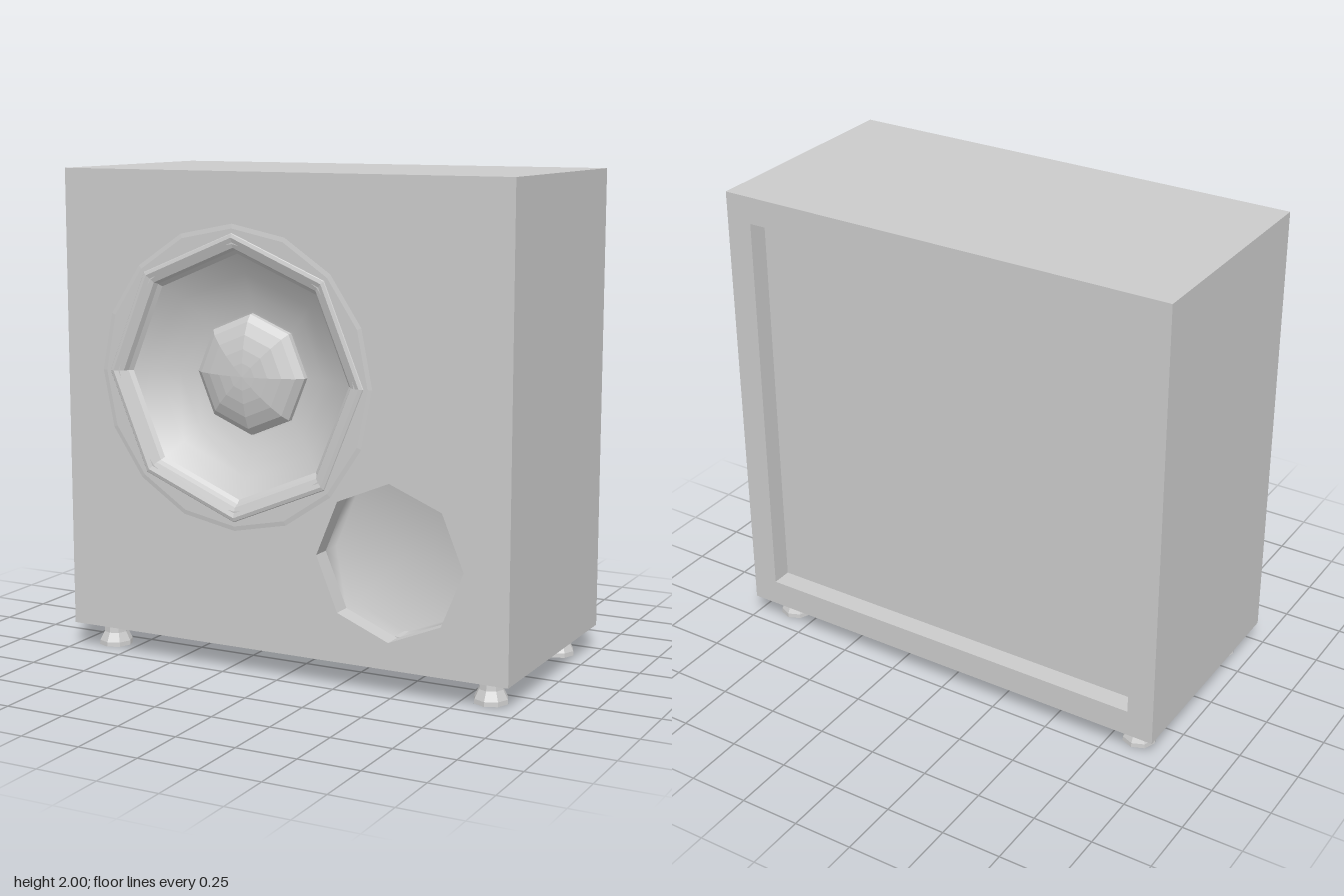
import * as THREE from 'three';

export function createModel() {
  const model = new THREE.Group();
  const mat = new THREE.MeshStandardMaterial({ color: 0xcccccc });
  const flat = new THREE.MeshStandardMaterial({ color: 0xcccccc, flatShading: true });
  const thin = new THREE.MeshStandardMaterial({ color: 0xcccccc, side: THREE.DoubleSide });

  const add = (name, geometry, material, x = 0, y = 0, z = 0) => {
    const mesh = new THREE.Mesh(geometry, material);
    mesh.name = name;
    mesh.position.set(x, y, z);
    model.add(mesh);
    return mesh;
  };
  const points = (list) => list.map(([r, h]) => new THREE.Vector2(r, h));

  // Profile [radius, z] spun around a forward-facing axis
  const dish = (profile, sides) =>
    new THREE.LatheGeometry(points(profile), sides).rotateX(Math.PI / 2);

  const rectangle = (Type, x, bottom, top) => {
    const p = new Type();
    p.moveTo(-x, bottom).lineTo(x, bottom).lineTo(x, top).lineTo(-x, top).closePath();
    return p;
  };
  const octagon = (cx, cy, r) => new THREE.Path(
    Array.from({ length: 9 }, (_, i) => new THREE.Vector2(
      cx + r * Math.sin(i * Math.PI / 4), cy + r * Math.cos(i * Math.PI / 4))));
  const extrude = (shape, depth) =>
    new THREE.ExtrudeGeometry(shape, { depth, bevelEnabled: false });

  const W = 0.978, BOTTOM = 0.105, TOP = 2, FRONT = 0.48, BACK = -0.49, BORDER = 0.112;
  const woofer = { x: -0.2, y: 1.19 };
  const port = { x: 0.48, y: 0.525, r: 0.312 };

  // Cabinet walls: a deep frame, open at the back
  const walls = rectangle(THREE.Shape, W, BOTTOM, TOP);
  walls.holes.push(rectangle(THREE.Path, W - BORDER, BOTTOM + BORDER, TOP - BORDER));
  add('cabinetWalls', extrude(walls, 0.4 - BACK), mat, 0, 0, BACK);

  // Front baffle with the woofer and port openings
  const baffle = rectangle(THREE.Shape, W, BOTTOM, TOP);
  baffle.holes.push(octagon(woofer.x, woofer.y, 0.53), octagon(port.x, port.y, port.r));
  add('frontBaffle', extrude(baffle, FRONT - 0.4), mat, 0, 0, 0.4);

  // Recessed back panel
  add('backPanel',
    new THREE.BoxGeometry(2 * (W - BORDER), TOP - BOTTOM - 2 * BORDER, 0.03),
    mat, 0, (TOP + BOTTOM) / 2, BACK + 0.1);

  // Port cup behind the baffle
  add('port', dish([[port.r, 0.4], [port.r, 0.31], [0, 0.31]], 8), mat, port.x, port.y);

  // Woofer: mounting flange, surround, cone and dust cap
  add('wooferFlange', dish([[0.615, 0.479], [0.59, 0.483], [0.53, 0.483]], 16),
    flat, woofer.x, woofer.y);
  add('wooferSurround',
    dish([[0.58, 0.475], [0.57, 0.486], [0.555, 0.49], [0.515, 0.475], [0.505, 0.455], [0.49, 0.44]], 8),
    flat, woofer.x, woofer.y);
  add('wooferCone', dish([[0.49, 0.44], [0.41, 0.385], [0.33, 0.345], [0.255, 0.32], [0.235, 0.318]], 8),
    thin, woofer.x, woofer.y);
  add('dustCap',
    dish([[0.245, 0.315], [0.243, 0.34], [0.215, 0.365], [0.165, 0.387], [0.11, 0.402], [0.055, 0.41], [0, 0.413]], 8),
    flat, woofer.x, woofer.y);

  // Four flared feet
  const foot = new THREE.LatheGeometry(points(
    [[0, 0], [0.071, 0], [0.069, 0.018], [0.05, 0.055], [0.047, 0.078], [0.057, BOTTOM]]), 8);
  for (const x of [-0.858, 0.858])
    for (const z of [-0.36, 0.355]) add('foot', foot, flat, x, 0, z);

  return model;
}
